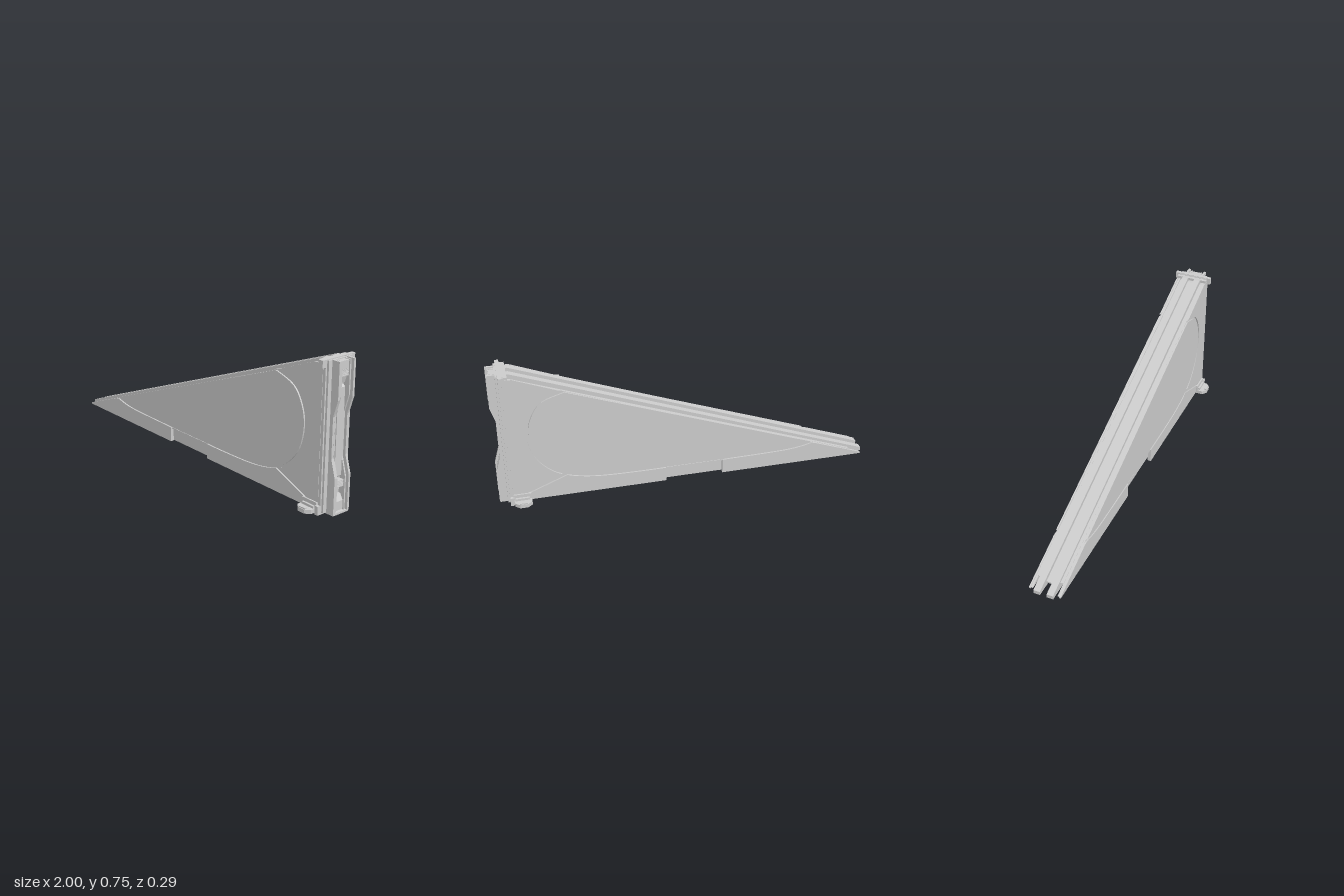
import * as THREE from 'three';

const mat = new THREE.MeshStandardMaterial({ color: 0xcccccc, flatShading: true });
const V = (x, y) => new THREE.Vector2(x, y);
const slope = (x) => 0.03 + (x + 1) * 0.376;

export function createModel() {
  const model = new THREE.Group();

  // side profile (x, y) extruded between two z values
  function prism(name, pts, z0, z1) {
    const shape = new THREE.Shape(pts.map((p) => (p.isVector2 ? p : V(p[0], p[1]))));
    const geo = new THREE.ExtrudeGeometry(shape, { depth: z1 - z0, bevelEnabled: false });
    geo.translate(0, 0, z0);
    const mesh = new THREE.Mesh(geo, mat);
    mesh.name = name;
    model.add(mesh);
  }
  // the same part on both sides
  function pair(name, pts, z0, z1) {
    prism(name + 'Left', pts, z0, z1);
    prism(name + 'Right', pts, -z1, -z0);
  }
  function box(name, x0, x1, y0, y1, z0, z1) {
    prism(name, [[x0, y0], [x1, y0], [x1, y1], [x0, y1]], z0, z1);
  }
  function boxPair(name, x0, x1, y0, y1, z0, z1) {
    pair(name, [[x0, y0], [x1, y0], [x1, y1], [x0, y1]], z0, z1);
  }
  // wedge outline, lowered from the slope and raised from the base
  function wedge(x0, top, bottom) {
    return [[x0, bottom], [0.93, bottom], [0.93, 0.742 - top], [0.89, 0.742 - top],
      [x0, Math.max(slope(x0) - top, bottom + 0.003)]];
  }

  // layered wedge: recessed centre, full rails, grooves beside them
  prism('centreWeb', wedge(-0.93, 0.02, 0.028), -0.018, 0.018);
  pair('wedgeRail', wedge(-1, 0, 0.01), 0.018, 0.052);
  pair('railGroove', wedge(-0.92, 0.025, 0.042), 0.052, 0.068);

  // backing of the side skins, notched for the grip slot
  const backing = wedge(-0.98, 0.018, 0.017);
  backing.splice(1, 0, [-0.19, 0.017], [-0.19, 0.095], [0.12, 0.095], [0.12, 0.017]);
  pair('skinBacking', backing, 0.066, 0.077);

  // curved seam that splits the side skin into panels
  const seam = new THREE.SplineCurve([
    V(-0.69, 0.131), V(-0.6, 0.113), V(-0.45, 0.105), V(0, 0.101), V(0.3, 0.101), V(0.5, 0.11),
    V(0.64, 0.14), V(0.73, 0.19), V(0.8, 0.28), V(0.828, 0.4), V(0.81, 0.5), V(0.75, 0.585), V(0.63, 0.628),
  ]);
  const offset = (d) => seam.getPoints(48).map((p, i) => {
    const t = seam.getTangent(i / 48);
    return V(p.x + t.y * d, p.y - t.x * d);
  });
  const inner = offset(-0.005), outer = offset(0.006);
  const lower = outer.slice(0, 25), upper = outer.slice(25);
  const skin = (name, pts) => pair(name, pts, 0.077, 0.085);

  skin('mainSkin', inner);
  skin('frontLowerSkin', [
    [-0.985, 0.015], [-0.19, 0.015], [-0.19, 0.095],
    ...lower.filter((p) => p.x < -0.19).reverse(),
    [-0.715, slope(-0.715) - 0.015], [-0.985, 0.022],
  ]);
  skin('rearLowerSkin', [
    [0.12, 0.015], [0.84, 0.015], [0.84, 0.056],
    ...lower.filter((p) => p.x > 0.12).reverse(), [0.12, 0.095],
  ]);
  skin('cornerSkin', [
    [0.85, 0.015], [0.93, 0.015], [0.93, 0.727], [0.88, 0.727], [0.66, slope(0.66) - 0.015],
    ...upper.slice().reverse(), [0.85, 0.066],
  ]);
  // thin lip above the grip slot
  boxPair('slotLip', -0.19, 0.12, 0.088, 0.095, 0.05, 0.08);

  // upright end channel
  box('endPlate', 0.92, 0.945, 0.008, 0.745, -0.083, 0.083);
  boxPair('endStrip', 0.945, 0.956, 0.008, 0.745, 0.054, 0.075);
  pair('endRail', [
    [0.94, 0.008], [0.998, 0.008], [0.998, 0.19], [0.972, 0.28], [0.972, 0.48], [0.998, 0.565],
    [0.998, 0.745], [0.94, 0.745],
  ], 0.04, 0.052);
  pair('innerRail', [
    [0.94, 0.012], [0.99, 0.012], [0.99, 0.18], [0.965, 0.27], [0.965, 0.49], [0.99, 0.575],
    [0.99, 0.742], [0.94, 0.742],
  ], 0.024, 0.032);
  box('channelFloor', 0.94, 0.956, 0.01, 0.744, -0.052, 0.052);

  // latch bar and its ramps inside the channel
  prism('latchBar', [[0.95, 0.165], [0.968, 0.18], [0.968, 0.61], [0.95, 0.625]], -0.022, 0.022);
  prism('lowerRamp', [[0.95, 0.015], [0.985, 0.015], [0.985, 0.06], [0.968, 0.09], [0.95, 0.09]], -0.022, 0.022);
  prism('upperRamp', [[0.95, 0.63], [0.965, 0.63], [0.985, 0.7], [0.985, 0.74], [0.95, 0.74]], -0.022, 0.022);
  for (let i = 0; i < 5; i++) {
    for (const y of [0.132, 0.667]) {
      box('gripRib', 0.95, 0.986, y + i * 0.007, y + i * 0.007 + 0.004, -0.022, 0.022);
    }
  }

  // end caps
  box('topCap', 0.925, 0.945, 0.712, 0.748, -0.103, 0.103);
  box('topCapLip', 0.9, 0.945, 0.728, 0.742, -0.085, 0.085);
  box('bottomCap', 0.925, 0.945, 0, 0.045, -0.1, 0.1);
  box('bottomCapFoot', 0.925, 0.995, 0, 0.01, -0.05, 0.05);

  // side feet: plan outline (x, z) raised vertically
  function foot(name, pts, y0, y1, side) {
    const shape = new THREE.Shape(pts.map(([x, z]) => V(x, -z * side)));
    const geo = new THREE.ExtrudeGeometry(shape, { depth: y1 - y0, bevelEnabled: false });
    geo.rotateX(-Math.PI / 2).translate(0, y0, 0);
    const mesh = new THREE.Mesh(geo, mat);
    mesh.name = name;
    model.add(mesh);
  }
  for (const side of [1, -1]) {
    foot('footPad', [[0.835, 0.08], [0.925, 0.08], [0.925, 0.122], [0.9, 0.143], [0.86, 0.143], [0.835, 0.122]], 0.008, 0.028, side);
    foot('footStep', [[0.845, 0.08], [0.92, 0.08], [0.92, 0.104], [0.845, 0.104]], 0.028, 0.04, side);
    foot('footBlock', [[0.835, 0.08], [0.928, 0.08], [0.928, 0.093], [0.835, 0.093]], 0.01, 0.058, side);
    foot('footHook', [[0.86, 0.126], [0.9, 0.126], [0.9, 0.14], [0.86, 0.14]], 0.024, 0.034, side);
  }
  return model;
}
